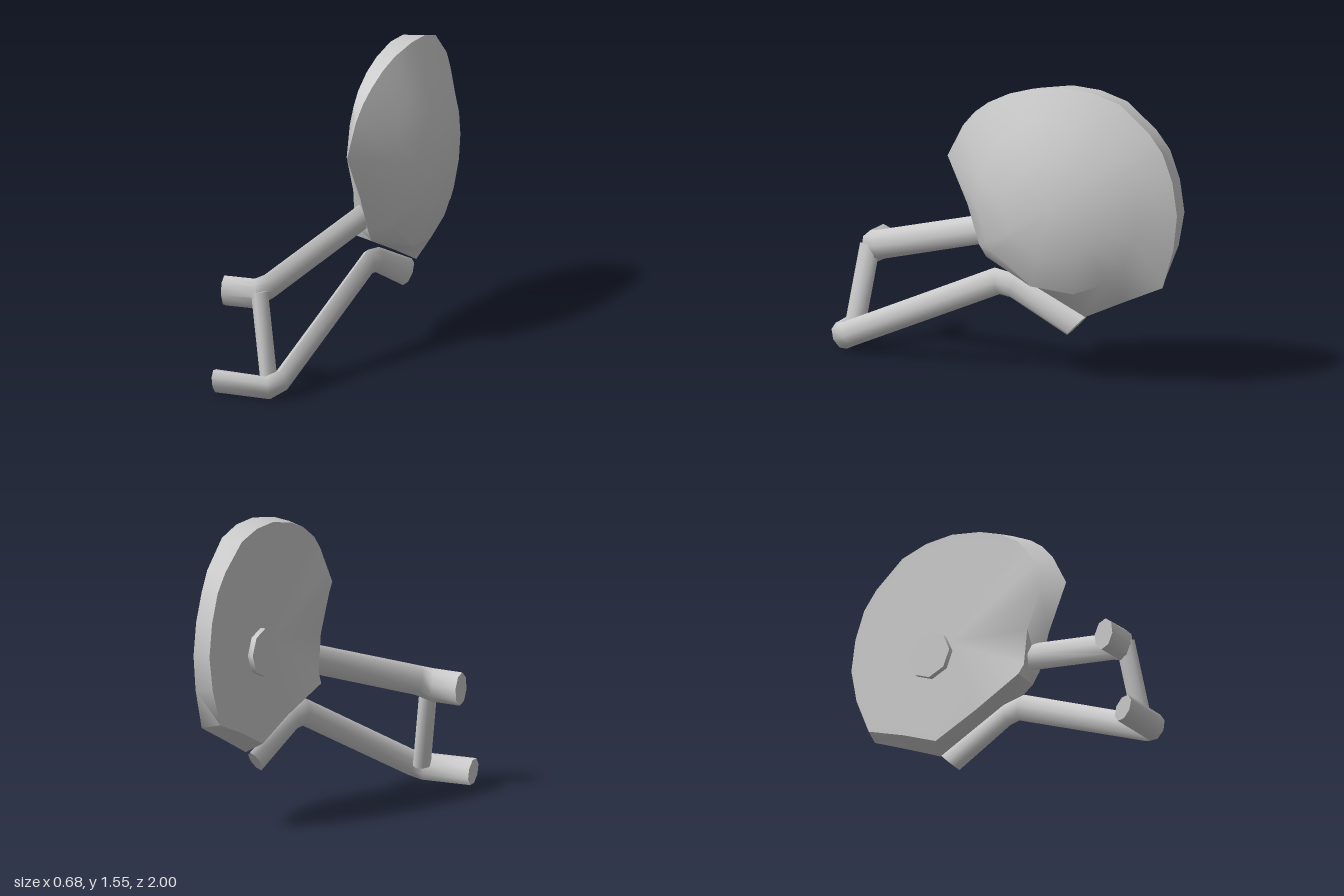
import * as THREE from 'three';
import { toCreasedNormals } from 'three/addons/utils/BufferGeometryUtils.js';

const V = (x, y, z) => new THREE.Vector3(x, y, z);
const material = new THREE.MeshStandardMaterial({ color: 0xcccccc, side: THREE.DoubleSide });

// Skin a list of closed rings and close both ends with fans
function loft(name, rings, crease, startCentre, endCentre) {
  const pos = [];
  const tri = (...pts) => pts.forEach(p => pos.push(p.x, p.y, p.z));
  const n = rings[0].length;
  const middle = ring => ring.reduce((s, p) => s.add(p), V(0, 0, 0)).divideScalar(n);
  const first = rings[0], last = rings[rings.length - 1];
  const c0 = startCentre || middle(first), c1 = endCentre || middle(last);
  for (let j = 0; j < n; j++) {
    const k = (j + 1) % n;
    for (let i = 0; i < rings.length - 1; i++) {
      const a = rings[i], b = rings[i + 1];
      tri(a[j], b[j], a[k]);
      tri(a[k], b[j], b[k]);
    }
    tri(c0, first[j], first[k]);
    tri(c1, last[k], last[j]);
  }
  const geometry = new THREE.BufferGeometry();
  geometry.setAttribute('position', new THREE.Float32BufferAttribute(pos, 3));
  const mesh = new THREE.Mesh(toCreasedNormals(geometry, crease), material);
  mesh.name = name;
  return mesh;
}

// Eight-sided oval bar; stations are { p, up, h, w } with half height h along up
function bar(name, stations) {
  const dir = (a, b) => b.p.clone().sub(a.p).normalize();
  const rings = stations.map((s, i) => {
    const prev = stations[i - 1], next = stations[i + 1];
    const t = V(0, 0, 0);
    if (prev) t.add(dir(prev, s));
    if (next) t.add(dir(s, next));
    const up = s.up.clone().normalize();
    const side = up.clone().cross(t).normalize();
    return Array.from({ length: 8 }, (_, j) => {
      const a = j * Math.PI / 4;
      return s.p.clone().addScaledVector(up, s.h * Math.cos(a)).addScaledVector(side, s.w * Math.sin(a));
    });
  });
  return loft(name, rings, 1.1);
}

const st = (p, up, h, w) => ({ p: V(...p), up: V(...up), h, w });

// Domed shell: rows are z, y, rim x, back edge scale
const CY = 0.94, CZ = -0.38;
const OUTLINE = [
  [0.29, 1.12, 0.10, 0.82], [0.20, 1.29, 0.11, 0.88], [0.13, 1.37, 0.12, 0.91], [0.05, 1.43, 0.13, 0.94],
  [-0.07, 1.49, 0.14, 0.96], [-0.20, 1.53, 0.15, 0.97], [-0.38, 1.555, 0.165, 0.98], [-0.54, 1.545, 0.165, 0.98],
  [-0.69, 1.50, 0.16, 0.98], [-0.85, 1.36, 0.15, 0.99], [-0.92, 1.26, 0.14, 1], [-0.975, 1.11, 0.14, 1],
  [-1.00, 0.94, 0.14, 1], [-0.98, 0.76, 0.14, 0.98], [-0.92, 0.555, 0.14, 0.95], [-0.70, 0.457, 0.14, 0.92],
  [-0.49, 0.36, 0.14, 0.91], [-0.22, 0.49, 0.14, 0.93], [0.06, 0.62, 0.135, 0.97], [0.10, 0.68, 0.135, 0.93],
  [0.17, 0.88, 0.12, 0.85],
];

function shell() {
  const scaled = (x, f) => OUTLINE.map(r => V(x(r), CY + (r[1] - CY) * f(r), CZ + (r[0] - CZ) * f(r)));
  const round = (x, radius) => scaled(() => x, r => radius / Math.hypot(r[1] - CY, r[0] - CZ));
  const back = scaled(() => 0.045, r => r[3]);
  // small flared tab at the lower front corner
  back[18].set(0.02, 0.64, 0.05);
  const rim = scaled(r => r[2], () => 1);
  return loft('domedShell', [back, rim, round(0.235, 0.45), round(0.31, 0.265)], 0.85,
    V(0.045, CY, CZ), V(0.335, CY, CZ));
}

export function createModel() {
  const group = new THREE.Group();
  group.add(shell());

  // Hub on the flat side
  const hub = new THREE.Mesh(toCreasedNormals(new THREE.CylinderGeometry(0.125, 0.125, 0.04, 8), 0.9), material);
  hub.name = 'hub';
  hub.rotation.z = Math.PI / 2;
  hub.position.set(0.036, 0.89, -0.5);
  group.add(hub);

  // Upper arm with its sideways stub
  group.add(bar('upperArm', [
    st([-0.34, 0.52, 0.825], [0, 1, 0.15], 0.085, 0.055),
    st([-0.17, 0.525, 0.825], [0, 1, 0.15], 0.085, 0.055),
    st([-0.12, 0.555, 0.76], [0, 0.95, 0.3], 0.076, 0.045),
    st([0.10, 0.755, 0.09], [0, 0.95, 0.3], 0.075, 0.042),
  ]));

  // Lower arm, from its stub to the bent rear end
  group.add(bar('lowerArm', [
    st([-0.34, 0.073, 0.945], [0, 0.9, 0.43], 0.072, 0.045),
    st([-0.05, 0.073, 0.945], [0, 0.9, 0.43], 0.072, 0.045),
    st([0.0, 0.1, 0.885], [0, 0.9, 0.43], 0.067, 0.04),
    st([0.1, 0.49, 0.015], [0, 0.98, 0.2], 0.07, 0.035),
    st([0.105, 0.475, -0.08], [0, 0.95, -0.3], 0.065, 0.034),
    st([0.115, 0.305, -0.435], [0, 0.7, -0.7], 0.078, 0.03),
  ]));

  // Brace between the two arms
  group.add(bar('brace', [
    st([-0.07, 0.09, 0.885], [0, 0.13, 1], 0.056, 0.042),
    st([-0.148, 0.54, 0.828], [0, 0.13, 1], 0.056, 0.042),
  ]));
  return group;
}
